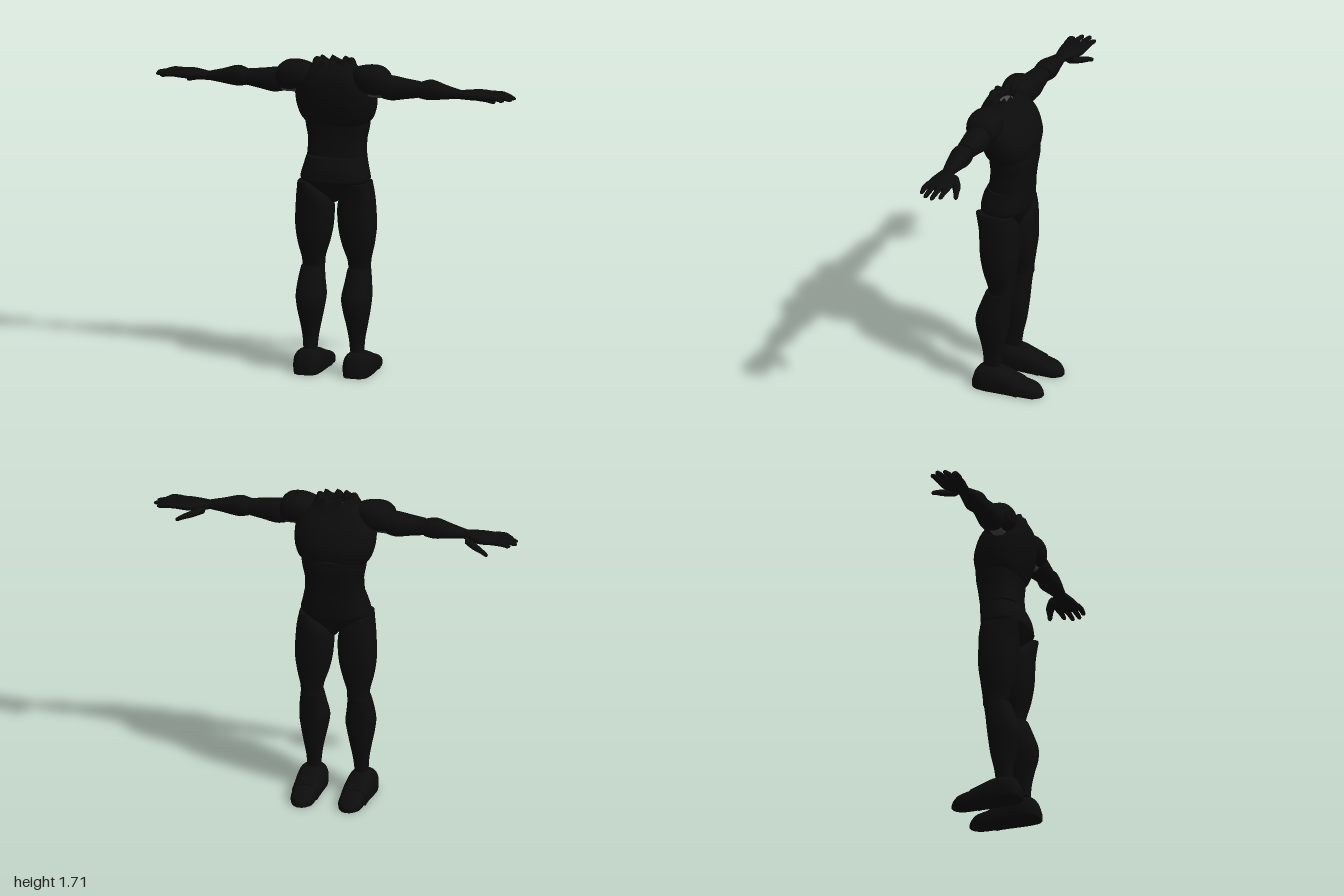
import * as THREE from 'three';

const black = new THREE.MeshStandardMaterial({ color: 0x0c0c0c });
black.name = 'matte black';
const grey = new THREE.MeshStandardMaterial({ color: 0x4a4a4a });
grey.name = 'inner grey';

// Smooth interpolation of one channel between four neighbouring sections
const spline = (p, q, r, s, t) =>
  0.5 * (2 * q + (r - p) * t + (2 * p - 5 * q + 4 * r - s) * t * t + (3 * q - p - 3 * r + s) * t * t * t);

// Lofts a closed solid along an axis. Each section is [t, a0, a1, b0, b1]:
// axis y: a = z, b = x;  axis x: a = y, b = z;  axis z: a = x, b = y
function loft(axis, sections, { power = 2.4, n = 32, steps = 4, warp } = {}) {
  const place = {
    x: (t, a, b) => [t, a, b],
    y: (t, a, b) => [b, t, a],
    z: (t, a, b) => [a, b, t],
  }[axis];
  const rows = [];
  const last = sections.length - 1;
  for (let i = 0; i < last; i++) {
    const [p, q, r, s] = [i - 1, i, i + 1, i + 2].map((k) => sections[Math.min(last, Math.max(0, k))]);
    for (let k = 0; k < steps; k++) rows.push(q.map((_, c) => spline(p[c], q[c], r[c], s[c], k / steps)));
  }
  rows.push(sections[last]);

  const pos = [], index = [];
  const add = (t, a, b, j) => {
    const v = new THREE.Vector3(...place(t, a, b));
    if (warp) warp(v, t, j);
    pos.push(v.x, v.y, v.z);
  };
  const round = (u) => Math.sign(u) * Math.abs(u) ** (2 / power);
  const ring = ([t, a0, a1, b0, b1]) => {
    for (let j = 0; j < n; j++) {
      const w = (j / n) * Math.PI * 2;
      add(t, (a0 + a1) / 2 + (a1 - a0) / 2 * round(Math.cos(w)), (b0 + b1) / 2 + (b1 - b0) / 2 * round(Math.sin(w)), j);
    }
  };
  rows.forEach(ring);
  for (let i = 0; i < rows.length - 1; i++) {
    for (let j = 0; j < n; j++) {
      const a = i * n + j, b = i * n + (j + 1) % n;
      index.push(a, b, b + n, a, b + n, a + n);
    }
  }
  // End caps have their own vertices so that their edges stay sharp
  for (const [row, flip] of [[rows[0], true], [rows[rows.length - 1], false]]) {
    const start = pos.length / 3;
    ring(row);
    add(row[0], (row[1] + row[2]) / 2, (row[3] + row[4]) / 2, 0);
    for (let j = 0; j < n; j++) {
      const a = start + j, b = start + (j + 1) % n;
      index.push(start + n, flip ? b : a, flip ? a : b);
    }
  }
  const geo = new THREE.BufferGeometry();
  geo.setAttribute('position', new THREE.Float32BufferAttribute(pos, 3));
  geo.setIndex(index);
  geo.computeVertexNormals();
  return geo;
}

// Copy of a geometry on the other side of the body
function mirrored(geo) {
  const g = geo.clone();
  const p = g.attributes.position, id = g.index;
  for (let i = 0; i < p.count; i++) p.setX(i, -p.getX(i));
  for (let i = 0; i < id.count; i += 3) {
    const b = id.getX(i + 1);
    id.setX(i + 1, id.getX(i + 2));
    id.setX(i + 2, b);
  }
  g.computeVertexNormals();
  return g;
}

export function createModel() {
  const model = new THREE.Group();
  model.name = 'headlessFigure';
  const add = (name, geo, mat = black) => {
    const mesh = new THREE.Mesh(geo, mat);
    mesh.name = name;
    model.add(mesh);
  };
  const pair = (name, geo, mat) => {
    add(name + 'Left', geo, mat);
    add(name + 'Right', mirrored(geo), mat);
  };

  // Chest: arched lower front edge and a torn, hollow neck
  add('chest', loft('y', [
    [1.355, -0.09, 0.145, -0.17, 0.17], [1.39, -0.093, 0.16, -0.198, 0.198],
    [1.46, -0.095, 0.185, -0.217, 0.217], [1.55, -0.065, 0.198, -0.215, 0.215],
    [1.62, -0.02, 0.195, -0.175, 0.175], [1.665, 0.005, 0.175, -0.13, 0.13],
    [1.7, 0.02, 0.15, -0.105, 0.105], [1.69, 0.035, 0.125, -0.07, 0.07],
    [1.64, 0.04, 0.115, -0.06, 0.06],
  ], {
    n: 48,
    warp: (v, t, j) => {
      if (t < 1.45 && v.z < 0.03) v.y += 0.3 * (0.03 - v.z) * (1.45 - t) / 0.095 * (1 - Math.abs(v.x) / 0.3);
      if (t > 1.68) v.y += [0.004, -0.012, 0.01, -0.004, -0.014][(j * 7) % 5];
    },
  }));
  add('neckCore', loft('y', [[1.635, 0.045, 0.11, -0.055, 0.055], [1.655, 0.045, 0.11, -0.055, 0.055]]), grey);

  // Waist and hips
  add('abdomen', loft('y', [
    [1.175, -0.065, 0.143, -0.16, 0.16], [1.26, -0.078, 0.136, -0.157, 0.157],
    [1.33, -0.088, 0.138, -0.17, 0.17], [1.38, -0.088, 0.142, -0.176, 0.176],
  ], { power: 2.6, warp: (v, t) => { if (t < 1.26) v.y += 0.07 * (v.z - 0.04) * (1.26 - t) / 0.085; } }));
  add('pelvis', loft('y', [
    [0.93, 0, 0.1, -0.015, 0.015], [0.98, -0.03, 0.145, -0.07, 0.07],
    [1.04, -0.055, 0.183, -0.17, 0.17], [1.065, -0.06, 0.188, -0.188, 0.188],
    [1.12, -0.066, 0.178, -0.175, 0.175], [1.17, -0.07, 0.155, -0.163, 0.163],
  ]));

  // Legs
  pair('thigh', loft('y', [
    [0.575, -0.02, 0.108, 0.07, 0.185], [0.62, -0.022, 0.12, 0.066, 0.188],
    [0.7, -0.032, 0.143, 0.04, 0.207], [0.8, -0.045, 0.16, 0.02, 0.219],
    [0.92, -0.046, 0.167, 0.018, 0.214], [0.98, -0.042, 0.173, 0.05, 0.207],
    [1.04, -0.028, 0.18, 0.105, 0.195],
  ]));
  pair('knee', loft('y', [[0.54, -0.008, 0.11, 0.08, 0.18], [0.6, -0.008, 0.11, 0.08, 0.18]]));
  pair('shin', loft('y', [
    [0.13, 0.05, 0.142, 0.095, 0.165], [0.2, 0.04, 0.147, 0.088, 0.17],
    [0.28, 0.022, 0.163, 0.073, 0.184], [0.35, 0.012, 0.182, 0.058, 0.197],
    [0.42, 0.004, 0.183, 0.048, 0.205], [0.5, -0.004, 0.155, 0.06, 0.199],
    [0.57, -0.015, 0.128, 0.07, 0.188],
  ]));

  // Feet: the soles are flattened onto the ground
  const sole = { power: 2.6, warp: (v) => { v.y = Math.max(0, v.y); } };
  pair('foot', loft('z', [
    [-0.075, 0.062, 0.205, -0.03, 0.085], [-0.02, 0.06, 0.207, -0.03, 0.105],
    [0.05, 0.06, 0.212, -0.04, 0.127], [0.12, 0.06, 0.215, -0.04, 0.128],
    [0.17, 0.075, 0.2, -0.04, 0.11], [0.195, 0.1, 0.175, -0.02, 0.05],
  ], sole));
  pair('toeCap', loft('z', [
    [-0.197, 0.115, 0.145, -0.01, 0.025], [-0.18, 0.092, 0.168, -0.02, 0.043],
    [-0.14, 0.068, 0.193, -0.02, 0.065], [-0.06, 0.065, 0.2, -0.02, 0.083],
  ], sole));

  // Arms
  pair('shoulder', loft('x', [
    [0.1, 1.6, 1.66, 0.06, 0.13], [0.14, 1.56, 1.677, 0.025, 0.17],
    [0.2, 1.535, 1.688, 0.005, 0.188], [0.26, 1.53, 1.683, 0.008, 0.185],
    [0.3, 1.545, 1.655, 0.03, 0.165], [0.31, 1.58, 1.62, 0.07, 0.12],
  ]));
  pair('armpitCore', loft('x', [[0.2, 1.515, 1.6, 0.055, 0.135], [0.285, 1.515, 1.6, 0.055, 0.135]]), grey);
  pair('upperArm', loft('x', [
    [0.28, 1.515, 1.64, 0.035, 0.158], [0.33, 1.508, 1.637, 0.028, 0.162],
    [0.4, 1.52, 1.627, 0.037, 0.155], [0.475, 1.532, 1.618, 0.045, 0.145],
  ]));
  pair('elbow', loft('x', [[0.46, 1.535, 1.61, 0.05, 0.14], [0.5, 1.535, 1.61, 0.05, 0.14]]));
  pair('forearm', loft('x', [
    [0.485, 1.53, 1.617, 0.04, 0.147], [0.54, 1.523, 1.63, 0.032, 0.145],
    [0.62, 1.533, 1.607, 0.045, 0.135], [0.7, 1.542, 1.587, 0.058, 0.12],
  ]));

  // Hands
  pair('palm', loft('x', [
    [0.69, 1.541, 1.584, 0.062, 0.118], [0.74, 1.538, 1.588, 0.03, 0.127],
    [0.8, 1.538, 1.59, 0.002, 0.135], [0.86, 1.542, 1.585, 0, 0.138],
    [0.89, 1.55, 1.575, 0.005, 0.135],
  ]));
  [[0.012, 0.965], [0.05, 0.992], [0.09, 0.985], [0.127, 0.95]].forEach(([z, tip], i) => {
    const r = 0.0135;
    const seg = (x, y, k) => [x, y - r * k, y + r * k, z - r * k, z + r * k];
    pair('finger' + (i + 1), loft('x', [
      seg(0.86, 1.565, 1.05), seg(0.91, 1.565, 1.1), seg((0.91 + tip) / 2, 1.56, 0.95),
      seg(tip - 0.01, 1.555, 0.85), seg(tip + 0.005, 1.554, 0.35),
    ], { n: 12, power: 2 }));
  });
  pair('thumb', loft('x', [
    [0.72, 1.53, 1.57, 0.015, 0.07], [0.77, 1.517, 1.555, -0.018, 0.035],
    [0.815, 1.507, 1.538, -0.03, 0.005], [0.845, 1.497, 1.522, -0.037, -0.012],
    [0.857, 1.501, 1.513, -0.033, -0.021],
  ], { n: 14, power: 2 }));

  return model;
}
